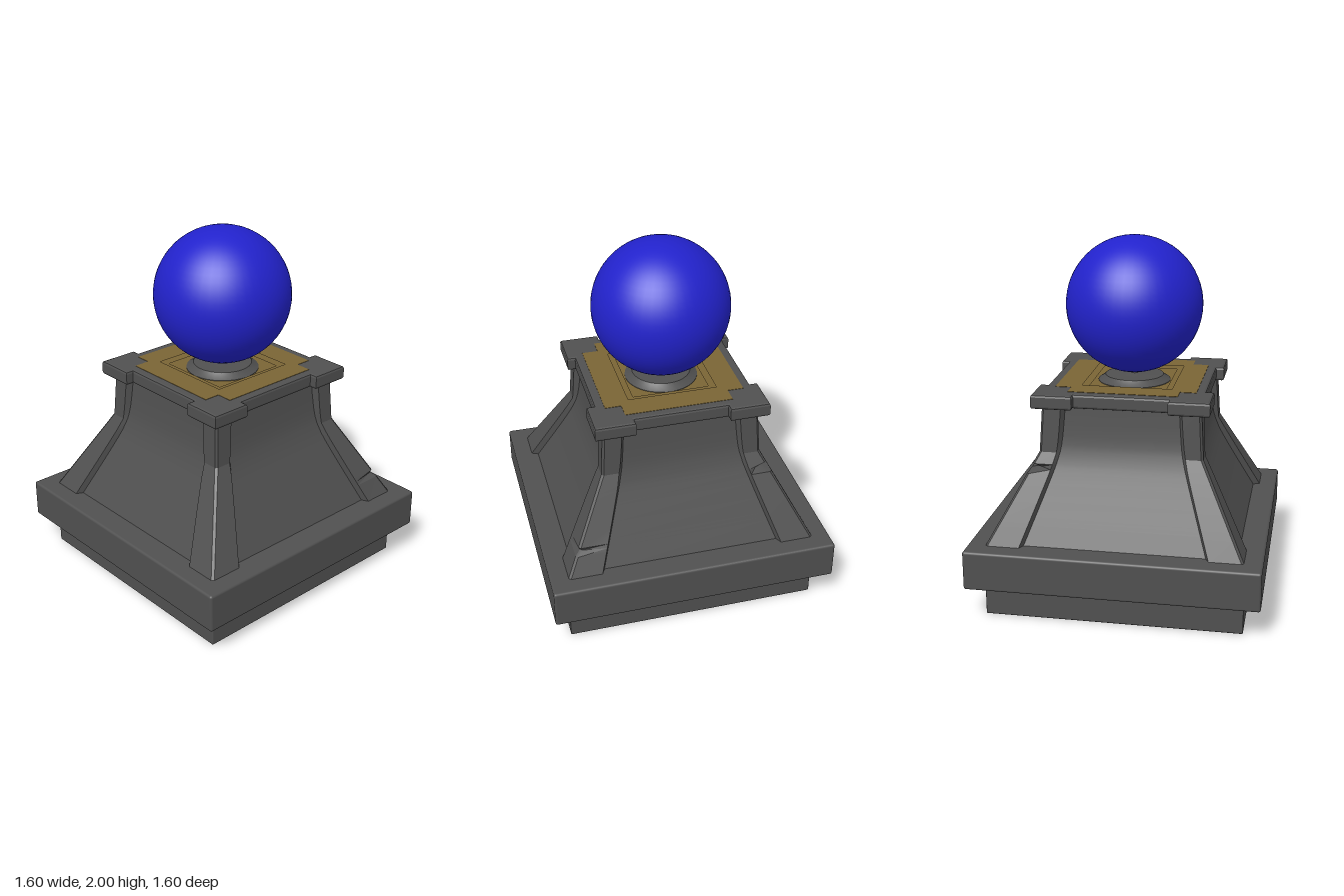
import * as THREE from 'three';
import { toCreasedNormals } from 'three/addons/utils/BufferGeometryUtils.js';
import { RoundedBoxGeometry } from 'three/addons/geometries/RoundedBoxGeometry.js';

const stone = new THREE.MeshStandardMaterial({ color: 0x505050 });
const gold = new THREE.MeshStandardMaterial({ color: 0x7a6535 });
const blue = new THREE.MeshStandardMaterial({ color: 0x2222cc });

// Repeats one side's points around the four sides of a square
function fourSides(side) {
  const out = [];
  for (let k = 0; k < 4; k++) {
    for (const [px, pz] of side) {
      let x = px, z = pz;
      for (let i = 0; i < k; i++) [x, z] = [z, -x];
      out.push([x, z]);
    }
  }
  return out;
}

const toPoints = (side) => fourSides(side).map(([x, y]) => new THREE.Vector2(x, y));
const square = (h) => [[-h, h], [h, h]];

// Flat plate from y0 to y1 with an optional square hole and bevelled edges
function plate(side, hole, y0, y1, bevel = 0) {
  const shape = new THREE.Shape(toPoints(side));
  if (hole) shape.holes.push(new THREE.Path(toPoints(square(hole))));
  const geo = new THREE.ExtrudeGeometry(shape, {
    depth: y1 - y0 - 2 * bevel, bevelEnabled: bevel > 0, bevelSize: bevel,
    bevelThickness: bevel, bevelOffset: -bevel, bevelSegments: 2,
  });
  geo.rotateX(-Math.PI / 2);
  geo.translate(0, y0 + bevel, 0);
  return geo;
}

// Half-widths of the body: steep neck above, wide flare below
const neck = (y) => 0.435 + (1.13 - y) * 0.058;
const flare = (y) => 0.45 + (0.87 - y) * 0.53;
const outer = (y) => Math.max(neck(y), flare(y));
function panel(y) {
  const a = neck(y), b = flare(y);
  return 0.5 * (a + b + Math.sqrt((a - b) ** 2 + 0.002)) - 0.04;
}
function opening(y) {
  const a = 0.31 + (1.13 - y) * 0.06, b = 0.325 + (0.87 - y) * 0.36;
  return 0.5 * (a + b + Math.sqrt((a - b) ** 2 + 0.0005));
}

// Flared body with four corner pillars, sunken panels and two chipped corners
function bodyGeometry() {
  const levels = [0.39, 0.5, 0.52, 0.54, 0.62, 0.7, 0.76, 0.785, 0.81, 0.87, 0.91, 0.96, 1.04, 1.13];
  const chips = [{ y: 0.52, corner: 0, depth: 0.02 }, { y: 0.785, corner: 1, depth: 0.045 }];
  const bevel = 0.012;
  const pos = [];
  let n = 0;
  for (const y of levels) {
    const h = outer(y), w = opening(y), p = panel(y);
    const ring = fourSides([
      [-h + bevel, h], [-w - 0.018, h], [-w, p], [w, p], [w + 0.018, h], [h - bevel, h],
    ]);
    n = ring.length;
    for (const c of chips) {
      if (c.y !== y) continue;
      for (const i of [c.corner * 6 + 5, (c.corner * 6 + 6) % n]) {
        ring[i] = ring[i].map((v) => v - Math.sign(v) * c.depth);
      }
    }
    for (const [x, z] of ring) pos.push(x, y, z);
  }
  const index = [];
  for (let l = 0; l < levels.length - 1; l++) {
    for (let i = 0; i < n; i++) {
      const a = l * n + i, b = l * n + (i + 1) % n;
      index.push(a, b, b + n, a, b + n, a + n);
    }
  }
  const geo = new THREE.BufferGeometry();
  geo.setAttribute('position', new THREE.Float32BufferAttribute(pos, 3));
  geo.setIndex(index);
  return toCreasedNormals(geo, 0.35);
}

export function createModel() {
  const model = new THREE.Group();
  const add = (name, geo, mat, y = 0) => {
    const mesh = new THREE.Mesh(geo, mat);
    mesh.name = name;
    mesh.position.y = y;
    model.add(mesh);
  };

  // Plinth
  add('base', new RoundedBoxGeometry(1.41, 0.2, 1.41, 2, 0.006), stone, 0.1);
  add('ledge', new RoundedBoxGeometry(1.6, 0.22, 1.6, 3, 0.014), stone, 0.29);

  // Body and cap with projecting corner blocks
  add('body', bodyGeometry(), stone);
  const capSide = [[-0.485, 0.485], [-0.26, 0.485], [-0.26, 0.44], [0.26, 0.44], [0.26, 0.485]];
  add('cap', plate(capSide, 0.31, 1.12, 1.2, 0.014), stone);

  // Golden inlay stepping down towards the middle
  add('inlay', plate([[-0.3, 0.3], [-0.3, 0.39], [0.3, 0.39]], 0.25, 1.185, 1.202), gold);
  add('inlayStep', plate(square(0.3), 0.215, 1.15, 1.192), gold);
  add('inlayFloor', plate(square(0.3), 0, 1.14, 1.182), gold);

  // Round foot and thin stem carrying the globe
  const foot = [[0, 1.17], [0.205, 1.17], [0.205, 1.185], [0.18, 1.2], [0.165, 1.215], [0.05, 1.217],
    [0.02, 1.222], [0.018, 1.26]].map(([r, y]) => new THREE.Vector2(r, y));
  add('footAndStem', toCreasedNormals(new THREE.LatheGeometry(foot, 32), 0.5), stone);
  add('globe', new THREE.SphereGeometry(0.383, 48, 32), blue, 1.617);

  return model;
}
